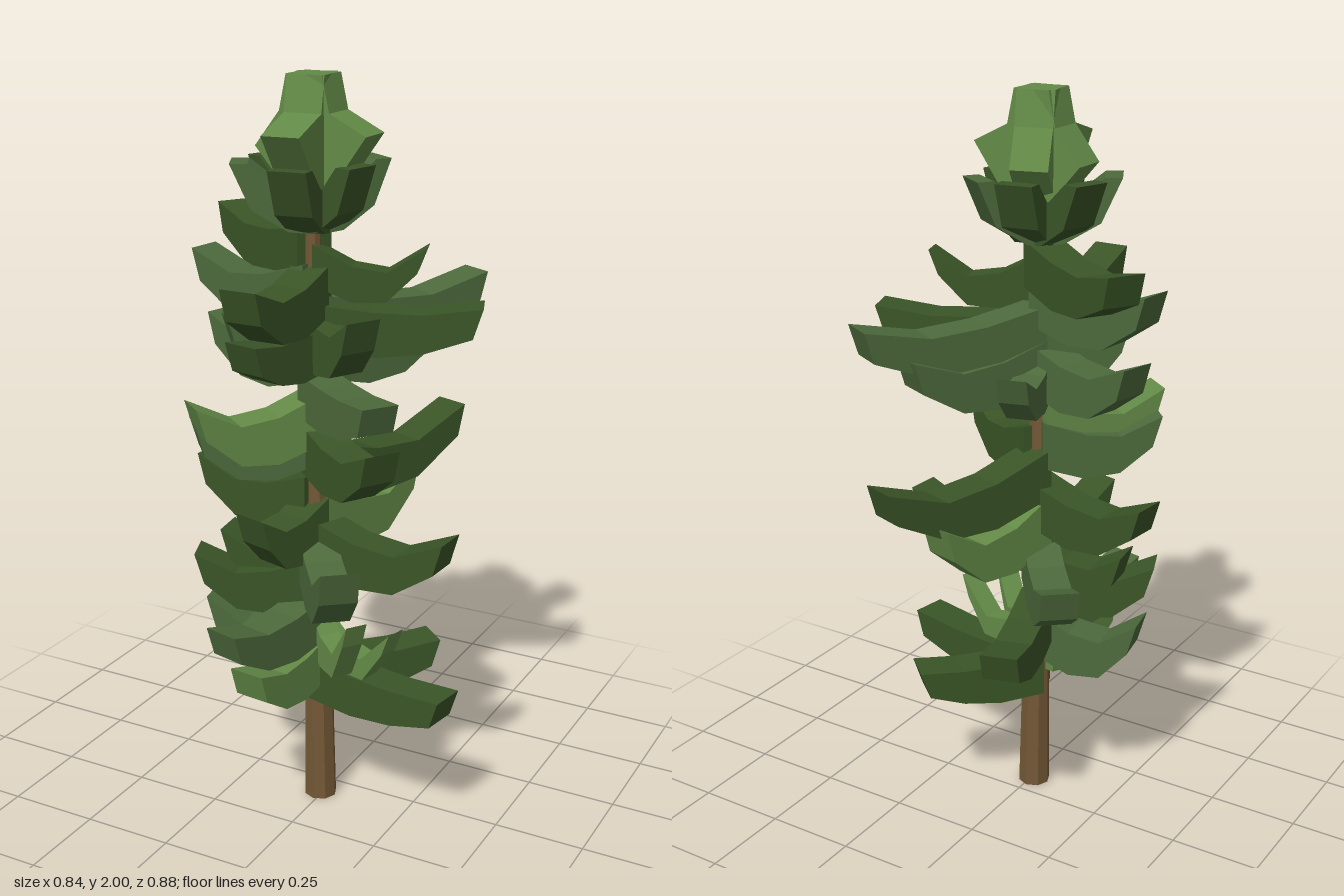
import * as THREE from 'three';

const mat = color => new THREE.MeshStandardMaterial({ color, flatShading: true });
const AXIS_X = -0.025, AXIS_Z = 0.065; // trunk line inside the crown

// Side profile of [radius, height] points, extruded to a given width
function slab(points, width) {
  const shape = new THREE.Shape(points.map(p => new THREE.Vector2(p[0], p[1])));
  const geo = new THREE.ExtrudeGeometry(shape, { depth: width, bevelEnabled: false });
  geo.translate(0, 0, -width / 2);
  return geo;
}

export function createModel() {
  const tree = new THREE.Group();
  const dark = mat(0x3a5527), sage = mat(0x4d6a3c), light = mat(0x638a47), bark = mat(0x735835);

  // Slightly leaning, tapered trunk
  const trunkGeo = new THREE.CylinderGeometry(0.018, 0.045, 1.8, 8, 1);
  trunkGeo.translate(0, 0.9, 0);
  const p = trunkGeo.attributes.position;
  for (let i = 0; i < p.count; i++) p.setX(i, p.getX(i) - 0.008 - 0.012 * p.getY(i));
  const trunk = new THREE.Mesh(trunkGeo, bark);
  trunk.position.z = 0.07;
  trunk.name = 'trunk';
  tree.add(trunk);

  // Puts a slab on the trunk, pointing towards (x, z)
  const place = (name, geo, material, x, z) => {
    const mesh = new THREE.Mesh(geo, material);
    mesh.name = name;
    mesh.position.set(AXIS_X, 0, AXIS_Z);
    mesh.rotation.y = Math.atan2(-(z - AXIS_Z), x - AXIS_X);
    tree.add(mesh);
  };
  const reach = (x, z) => Math.hypot(x - AXIS_X, z - AXIS_Z);

  // Boughs: tip x, tip height, tip z, material, width, rise
  const boughs = [
    // lowest tier
    [0.405, 0.43, 0.135, dark, 0.1, 0.2], [0.21, 0.43, -0.2, dark, 0.1, 0.2],
    [-0.06, 0.5, 0.38, light, 0.1, 0.7], [0.25, 0.58, 0.13, light, 0.06, 2], [0.17, 0.61, 0.2, light, 0.06, 2.2],
    [-0.32, 0.58, 0.12, sage, 0.1, 1.4], [-0.11, 0.62, 0.42, sage, 0.1, 0.7], [-0.145, 0.62, -0.335, dark, 0.1, 0.6],
    // low tier
    [-0.325, 0.73, 0.185, dark], [-0.28, 0.78, 0.1, dark], [-0.27, 0.79, -0.235, sage],
    [0.38, 0.85, 0.085, dark, 0.1, 1.2], [0.2, 0.82, 0.35, sage, 0.1, 1.6], [0.07, 0.92, -0.3, light, 0.1, 1.5],
    [-0.09, 0.9, 0.3, dark],
    // middle tier
    [-0.38, 0.96, 0.03, dark], [0.15, 1.05, -0.43, dark, 0.1, 1.3], [0.26, 1.11, 0.24, dark],
    [-0.27, 1.13, 0.28, sage], [-0.24, 1.19, 0.33, light, 0.1, 1.2], [0.265, 1.24, 0.265, sage, 0.1, 0.2],
    // upper tier
    [-0.36, 1.35, -0.02, sage], [-0.08, 1.37, 0.345, dark, 0.1, 0.3], [-0.1, 1.32, -0.2, sage, 0.08],
    [0.15, 1.36, -0.3, sage], [0.38, 1.43, -0.09, dark, 0.1, 0.4], [0.23, 1.45, -0.39, sage, 0.1, 0.8],
    [0.17, 1.42, 0.17, dark], [-0.2, 1.4, 0.22, sage],
    [-0.385, 1.53, 0.02, sage], [-0.03, 1.53, 0.435, dark], [0.25, 1.58, -0.03, dark, 0.07, 1.3],
    [-0.4, 1.62, -0.165, dark, 0.1, 0.7],
  ];
  for (const [x, y, z, material, width = 0.1, rise = 1] of boughs) {
    const r = reach(x, z);
    // top line dips by rise, underside follows it at a depth
    const at = (dip, depth = 0) => y - dip * rise - depth * width;
    place('bough', slab([
      [0, at(0.02, 1.1)], [0.35 * r, at(0.05, 1.15)], [0.65 * r, at(0.055, 1)], [r - 0.025, at(0.01, 0.75)],
      [r, y], [0.65 * r, at(0.05)], [0.35 * r, at(0.04)], [0, at(0)],
    ], width), material, x, z);
  }

  // Upturned whorl below the crown
  const whorl = [[0.13, 0.1, dark], [0.0, 0.25, dark], [-0.21, 0.16, sage],
    [-0.21, 0.0, dark], [-0.05, -0.11, dark], [0.085, -0.095, sage]];
  for (const [x, z, material] of whorl) {
    const r = reach(x, z);
    place('upturnedBough', slab([
      [0, 1.61], [0.3 * r, 1.615], [0.75 * r, 1.67], [r, 1.785], [r - 0.045, 1.785],
      [0.45 * r, 1.73], [0, 1.71],
    ], 0.1), material, x, z);
  }

  // Pointed crown of four bulging leaves
  const crown = [[0.145, 0.065, 1.86], [-0.005, 0.27, 1.87], [-0.165, 0.065, 1.82], [-0.055, -0.045, 1.81]];
  for (const [x, z, y] of crown) {
    const r = reach(x, z);
    place('crownLeaf', slab([
      [0, 1.66], [0.035, 1.67], [0.5 * r, 1.74], [r, y], [0.07, 1.91], [0.05, 2], [0, 2],
    ], 0.1), light, x, z);
  }
  return tree;
}
